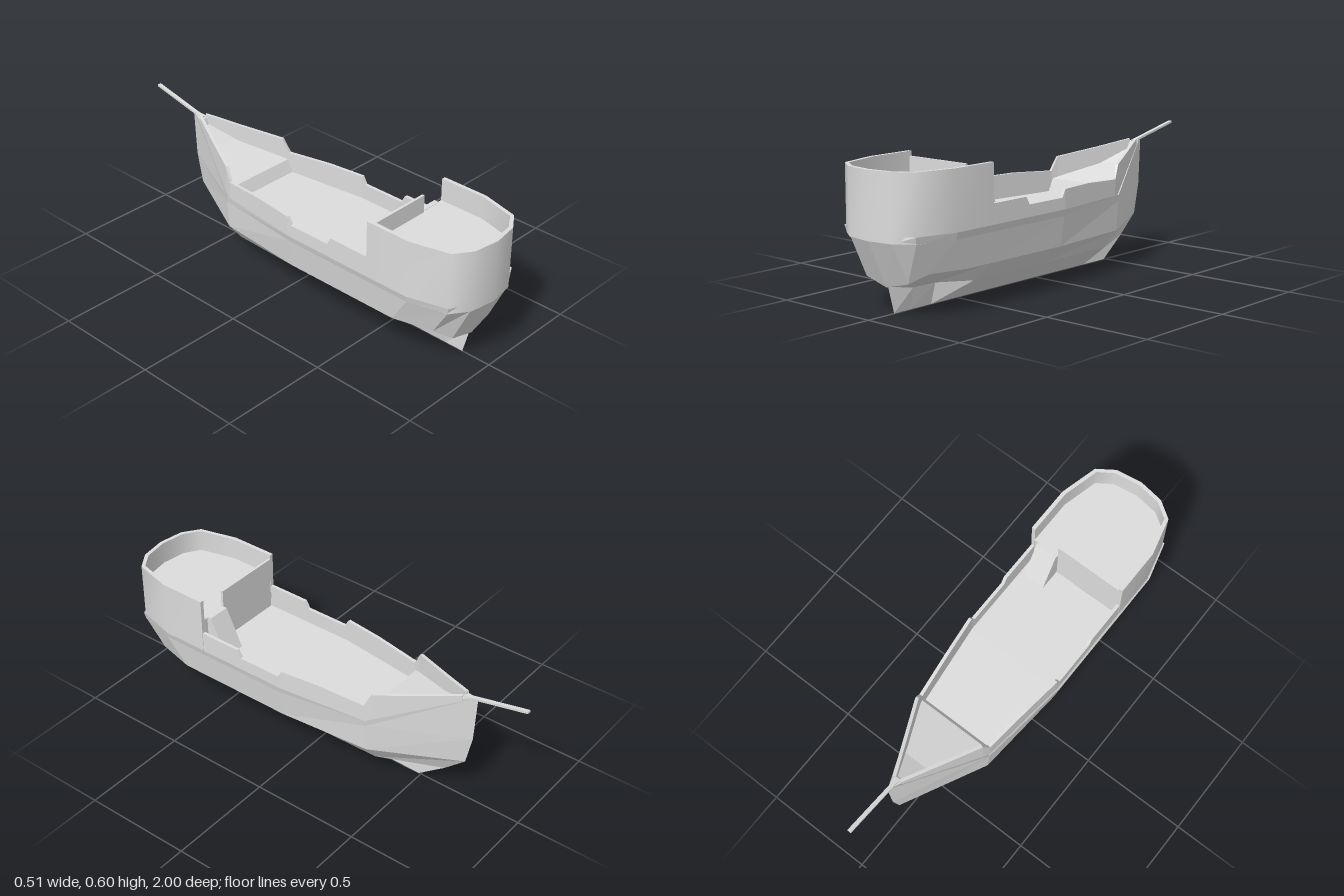
import * as THREE from 'three';
import { toCreasedNormals } from 'three/addons/utils/BufferGeometryUtils.js';

const timber = new THREE.MeshStandardMaterial({ color: 0xdcdcdc, side: THREE.DoubleSide });
timber.name = 'grey timber';

// Faceted surface over rows of points, plus optional loose quads
function surface(rows, flip = false, extra = []) {
  const quads = [...extra];
  for (let i = 0; i < rows.length - 1; i++) {
    for (let j = 0; j < rows[i].length - 1; j++) {
      const q = [rows[i][j], rows[i + 1][j], rows[i + 1][j + 1], rows[i][j + 1]];
      quads.push(flip ? q.reverse() : q);
    }
  }
  const pos = [];
  const same = (p, q) => p.every((v, k) => Math.abs(v - q[k]) < 1e-6);
  for (const [a, b, c, d] of quads) {
    for (const t of [[a, b, c], [a, c, d]]) {
      if (same(t[0], t[1]) || same(t[1], t[2]) || same(t[0], t[2])) continue;
      pos.push(...t.flat());
    }
  }
  const g = new THREE.BufferGeometry();
  g.setAttribute('position', new THREE.Float32BufferAttribute(pos, 3));
  g.computeVertexNormals();
  return g;
}

// Thick wall along a path of [x, z, bottom, top]; the outside lies to the path's right
function wall(path, thickness) {
  const rows = path.map(([x, z, y0, y1], i) => {
    const p = path[Math.max(i - 1, 0)], n = path[Math.min(i + 1, path.length - 1)];
    const dx = n[0] - p[0], dz = n[1] - p[1], l = Math.hypot(dx, dz);
    const ix = x + (dz / l) * thickness, iz = z - (dx / l) * thickness;
    return [[x, y0, z], [x, y1, z], [ix, y1, iz], [ix, y0, iz], [x, y0, z]];
  });
  const caps = [rows[0].slice(0, 4), rows[rows.length - 1].slice(0, 4).reverse()];
  return surface(rows, false, caps);
}

// Deck from rows of [z, y, half width], running from bow to stern
const deck = rows => surface(rows.map(([z, y, w]) => [[-w, y, z], [w, y, z]]));

// Half width of the bulwark line along the ship
const { mapLinear } = THREE.MathUtils;
function halfWidth(z) {
  if (z >= 0.08) return 0.243;
  if (z >= -0.34) return mapLinear(z, 0.08, -0.34, 0.243, 0.192);
  return mapLinear(z, -0.34, -0.75, 0.192, 0);
}

export function createModel() {
  const ship = new THREE.Group();
  ship.name = 'ship';
  const add = (name, geometry) => {
    const m = new THREE.Mesh(geometry, timber);
    m.name = name;
    ship.add(m);
    return m;
  };

  // Hull stations from stem to sternpost: keel, bilge, chine, wale, rail
  const stations = [
    [[0, 0, -0.49], [0, 0.1, -0.62], [0, 0.19, -0.72], [0, 0.33, -0.75], [0, 0.555, -0.762]],
    [[0, 0, -0.34], [0.12, 0.097, -0.34], [0.19, 0.185, -0.34], [0.198, 0.32, -0.34], [0.203, 0.35, -0.34]],
    [[0, 0, 0.09], [0.13, 0.099, 0.09], [0.225, 0.185, 0.09], [0.245, 0.32, 0.09], [0.253, 0.35, 0.09]],
    [[0, 0, 0.53], [0.13, 0.099, 0.53], [0.225, 0.185, 0.53], [0.246, 0.32, 0.53], [0.255, 0.35, 0.53]],
    [[0, 0, 0.65], [0.025, 0.095, 0.65], [0.225, 0.185, 0.66], [0.246, 0.32, 0.75], [0.255, 0.35, 0.75]],
    [[0, 0, 0.77], [0.02, 0.095, 0.77], [0.18, 0.185, 0.84], [0.2, 0.32, 0.925], [0.206, 0.35, 0.932]],
    [[0, 0, 0.86], [0, 0.115, 0.89], [0.12, 0.145, 0.895], [0.12, 0.32, 0.977], [0.118, 0.35, 0.972]],
    [[0, 0, 0.86], [0, 0.115, 0.89], [0, 0.115, 0.9], [0, 0.32, 0.995], [0, 0.35, 0.985]],
  ];
  // Lip sloping down from the rail to the bulwark
  for (const s of stations) {
    const [x, y, z] = s[4];
    s.push([x * 0.94, y - 0.015, z * 0.985]);
  }
  const mirrored = stations.map(s => s.map(([x, y, z]) => [-x, y, z]));
  add('hullLeft', surface(stations, true));
  add('hullRight', surface(mirrored));

  // Stepped bulwarks rising toward the bow: [z, bottom, top]
  const bulwark = [
    [0.53, 0.325, 0.435], [0.33, 0.325, 0.435], [0.31, 0.325, 0.4], [0.1, 0.325, 0.4],
    [0.08, 0.325, 0.435], [-0.1, 0.325, 0.435], [-0.325, 0.325, 0.42], [-0.36, 0.345, 0.484],
    [-0.55, 0.437, 0.518], [-0.7, 0.508, 0.548],
  ].map(([z, y0, y1]) => [halfWidth(z), z, y0, y1]);
  add('bulwarkLeft', wall(bulwark, 0.015));
  add('bulwarkRight', wall(bulwark.map(([x, ...r]) => [-x, ...r]).reverse(), 0.015));

  // Main deck, step and rising foredeck, closed by a small cap at the stem
  const rowsAt = list => list.map(([z, y]) => [z, y, halfWidth(z) - 0.004]);
  add('mainDeck', deck(rowsAt([[-0.305, 0.327], [0.08, 0.327], [0.53, 0.327]])));
  add('foredeck', deck(rowsAt([[-0.68, 0.5], [-0.57, 0.445], [-0.33, 0.385], [-0.305, 0.327]])));
  add('stemCap', deck([[-0.762, 0.553, 0], [-0.69, 0.532, 0.028], [-0.68, 0.5, 0.03]]));

  // Sterncastle wall wrapping the stern
  const side = [[0.245, 0.53], [0.245, 0.75], [0.2, 0.927], [0.12, 0.982]];
  const around = [...side.map(([x, z]) => [-x, z]), [0, 1], ...side.slice().reverse()];
  add('sterncastleWall', toCreasedNormals(wall(around.map(([x, z]) => [x, z, 0.32, 0.604]), 0.018), 0.75));
  add('sterncastleDeck', deck([[0.53, 0.5, 0.235], [0.75, 0.5, 0.235], [0.915, 0.5, 0.19], [0.97, 0.5, 0.115], [0.985, 0.5, 0]]));

  // Bulkhead below the upper deck, and its railing beside the ramp opening
  add('bulkhead', new THREE.BoxGeometry(0.475, 0.172, 0.01)).position.set(0, 0.412, 0.537);
  add('sterncastleRailing', new THREE.BoxGeometry(0.335, 0.085, 0.012)).position.set(-0.0675, 0.54, 0.536);

  // Solid ramp up to the upper deck
  const profile = new THREE.Shape([[0.43, 0.327], [0.535, 0.327], [0.535, 0.502], [0.512, 0.502]]
    .map(([z, y]) => new THREE.Vector2(-z, y)));
  const ramp = add('ramp', new THREE.ExtrudeGeometry(profile, { depth: 0.105, bevelEnabled: false }));
  ramp.rotation.y = Math.PI / 2;
  ramp.position.x = 0.1;

  // Bowsprit
  const from = new THREE.Vector3(0, 0.535, -0.7), to = new THREE.Vector3(0, 0.6, -0.999);
  const sprit = add('bowsprit', new THREE.BoxGeometry(0.018, 0.01, from.distanceTo(to)));
  sprit.position.copy(from).lerp(to, 0.5);
  sprit.lookAt(to);

  return ship;
}
